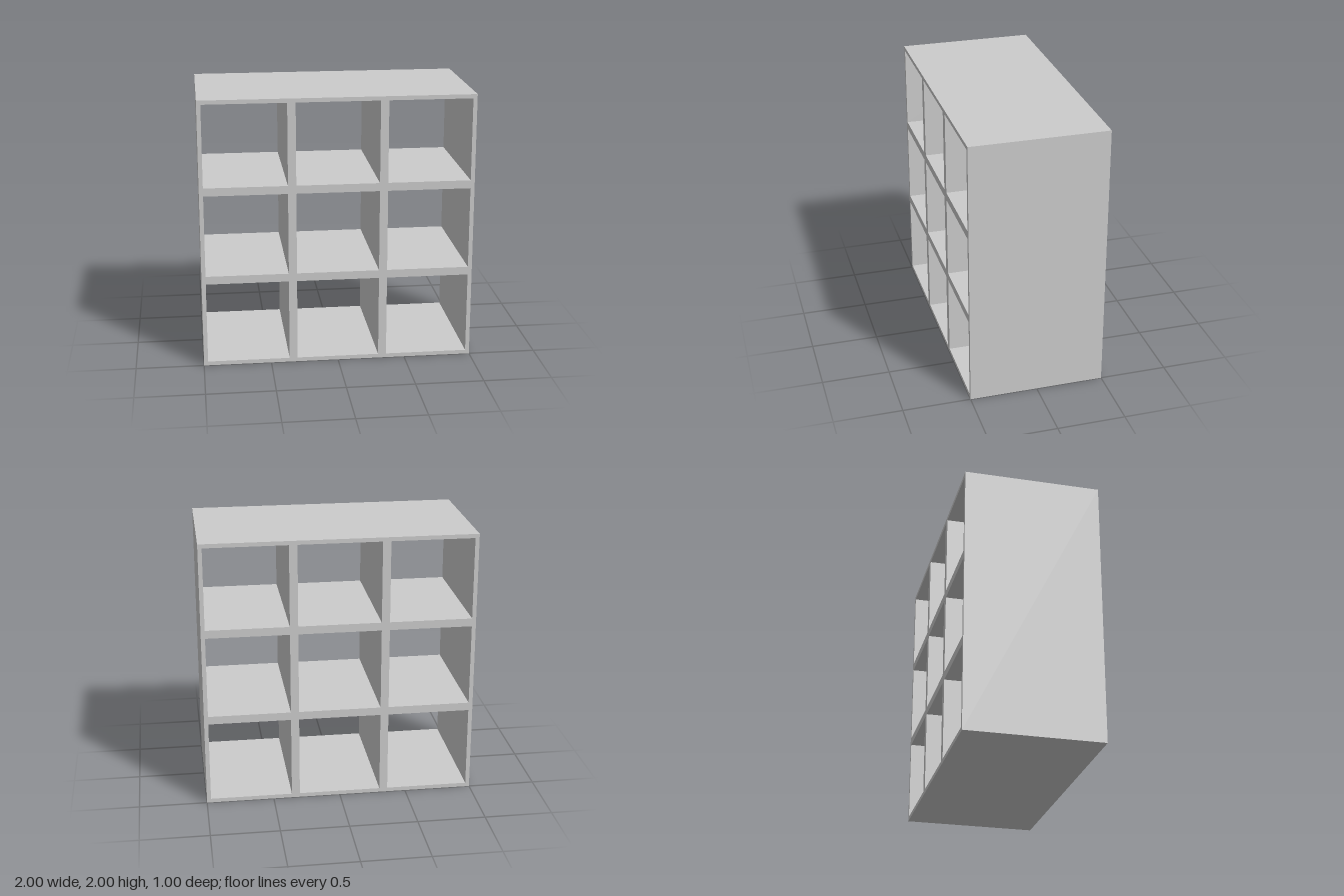
import * as THREE from 'three';

const SIZE = 2, DEPTH = 1, CELLS = 3, WALL = 0.03;

// Adds a closed rectangle to a shape or path
function rectangle(path, x0, y0, x1, y1) {
  path.moveTo(x0, y0);
  path.lineTo(x1, y0);
  path.lineTo(x1, y1);
  path.lineTo(x0, y1);
  path.closePath();
  return path;
}

export function createModel() {
  const group = new THREE.Group();
  group.name = 'cubbyShelf';

  // Square outline with a grid of openings that run from front to back
  const outline = rectangle(new THREE.Shape(), -SIZE / 2, 0, SIZE / 2, SIZE);
  const pitch = SIZE / CELLS;
  for (let row = 0; row < CELLS; row++) {
    for (let col = 0; col < CELLS; col++) {
      const x = -SIZE / 2 + col * pitch, y = row * pitch;
      outline.holes.push(rectangle(new THREE.Path(),
        x + WALL, y + WALL, x + pitch - WALL, y + pitch - WALL));
    }
  }

  // Outer frame, shelves and dividers as one solid
  const geometry = new THREE.ExtrudeGeometry(outline, { depth: DEPTH, bevelEnabled: false });
  geometry.translate(0, 0, -DEPTH / 2);
  const frame = new THREE.Mesh(geometry, new THREE.MeshStandardMaterial({ color: 0xcccccc }));
  frame.name = 'shelfFrame';
  group.add(frame);
  return group;
}
